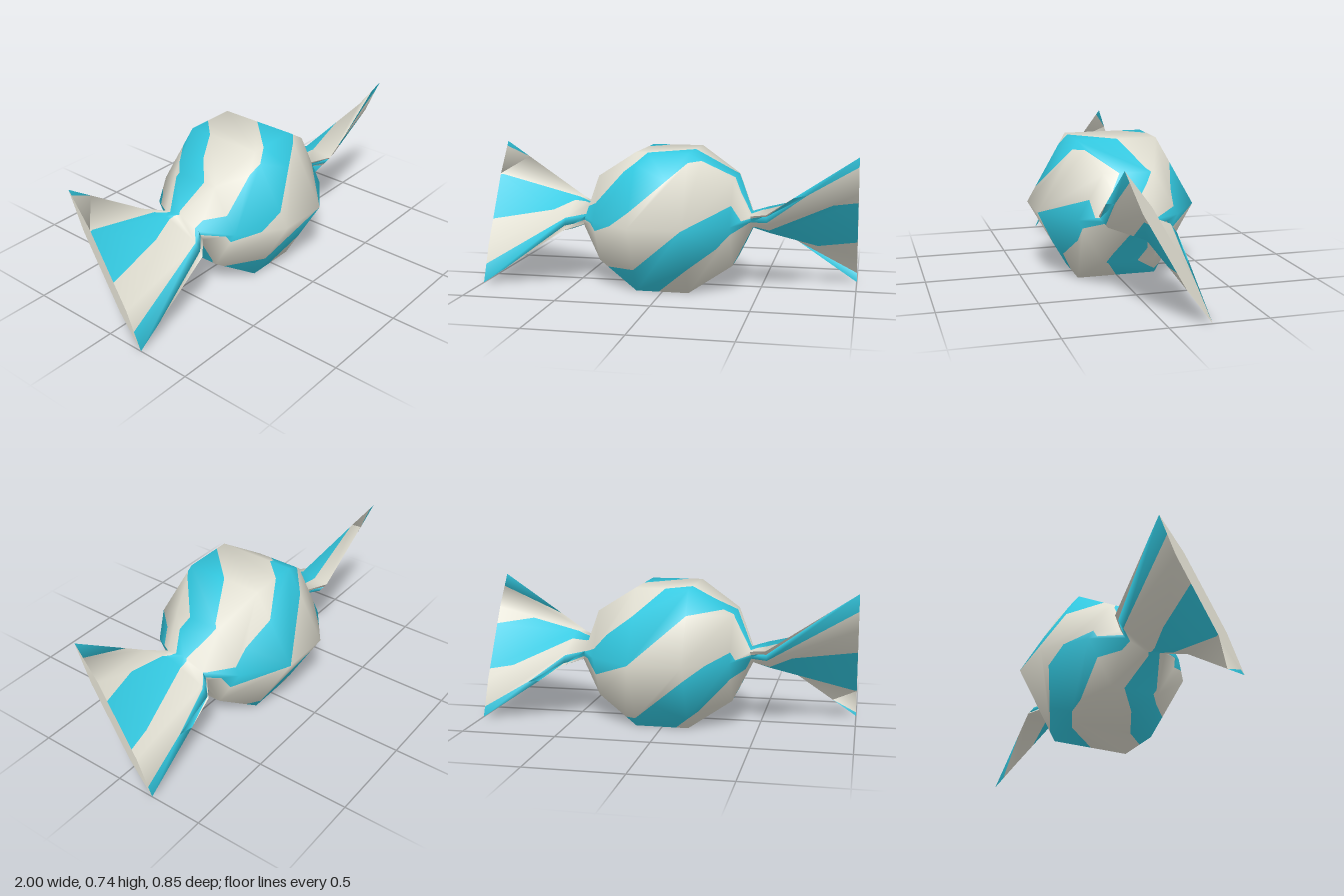
import * as THREE from 'three';

const CY = 0.37, R = 0.425, SIDES = 6, PERIOD = 1.5, STRIPE = 0.63;

// Six [z, y] points from three, completed by point symmetry about the axis
const symmetric = (p) => [...p, ...p.map(([z, y]) => [-z, -y])];
const hexagon = (r) => symmetric([0, 1, 2].map((i) => [r * Math.cos(i * Math.PI / 3), r * Math.sin(i * Math.PI / 3)]));
const scaled = (ring, k) => ring.map(([z, y]) => [z * k, y * k]);

// Twisted wrapper sections: pinched gather, and the fan squashed along its diagonal
const gather = symmetric([[0.16, 0], [0.205, 0.06], [0.04, 0.08]]);
const fan = hexagon(R).map(([z, y]) => {
  const along = z * 0.5 + y * 0.866, across = (-z * 0.866 + y * 0.5) * 0.07;
  return [along * 0.5 - across * 0.866, along * 0.866 + across * 0.5];
});

// Sections of the +x half: position, outline, and how far the stripes have turned
const half = [
  { x: 0.14, ring: hexagon(R), turn: 0.33 },
  { x: 0.36, ring: hexagon(0.265), turn: 0.77 },
  { x: 0.45, ring: scaled(gather, 0.62), turn: 0.97 },
  { x: 0.54, ring: gather, turn: 1.17 },
  { x: 1.0, ring: fan, turn: 1.69 },
];
// The other half is turned by 180 degrees about y
const turned = half.map(({ x, ring, turn }) => ({
  x: -x,
  turn: -turn,
  ring: ring.map((_, i) => { const [z, y] = ring[(9 - i) % SIDES]; return [-z, y]; }),
})).reverse();
const sections = [...turned, ...half];

// Cut a polygon at stripe coordinate s = c, keeping one side
function clip(poly, c, sign) {
  const out = [];
  poly.forEach((a, i) => {
    const b = poly[(i + 1) % poly.length];
    const da = (a.s - c) * sign, db = (b.s - c) * sign;
    if (da >= 0) out.push(a);
    if (da * db < 0) {
      const f = da / (da - db);
      out.push({ s: a.s + (b.s - a.s) * f, p: a.p.clone().lerp(b.p, f), n: a.n.clone().lerp(b.n, f).normalize() });
    }
  });
  return out;
}

function toGeometry(polys) {
  const pos = [], nor = [];
  for (const poly of polys) {
    for (let i = 1; i < poly.length - 1; i++) {
      for (const v of [poly[0], poly[i], poly[i + 1]]) {
        pos.push(v.p.x, v.p.y, v.p.z);
        nor.push(v.n.x, v.n.y, v.n.z);
      }
    }
  }
  const g = new THREE.BufferGeometry();
  g.setAttribute('position', new THREE.Float32BufferAttribute(pos, 3));
  g.setAttribute('normal', new THREE.Float32BufferAttribute(nor, 3));
  return g;
}

// Smooth skin through all sections, used for points and normals
function makeSkin() {
  const pos = [], index = [];
  for (const { x, ring } of sections) for (const [z, y] of ring) pos.push(x, y + CY, z);
  for (let j = 0; j < sections.length - 1; j++) {
    for (let i = 0; i < SIDES; i++) {
      const a = j * SIDES + i, d = j * SIDES + (i + 1) % SIDES;
      index.push(a, a + SIDES, d + SIDES, a, d + SIDES, d);
    }
  }
  const g = new THREE.BufferGeometry();
  g.setAttribute('position', new THREE.Float32BufferAttribute(pos, 3));
  g.setIndex(index);
  g.computeVertexNormals();
  return g;
}

export function createModel() {
  const cyan = new THREE.MeshStandardMaterial({ color: 0x32c8e0 });
  cyan.name = 'cyan stripe';
  const cream = new THREE.MeshStandardMaterial({ color: 0xdedccf });
  cream.name = 'cream wrapper';
  cyan.side = cream.side = THREE.DoubleSide;

  const model = new THREE.Group();
  model.name = 'wrappedCandy';
  const skin = makeSkin();
  const corner = (j, i) => {
    const k = j * SIDES + i % SIDES;
    return {
      s: i - 0.86 - sections[j].turn + STRIPE / 2,
      p: new THREE.Vector3().fromBufferAttribute(skin.attributes.position, k),
      n: new THREE.Vector3().fromBufferAttribute(skin.attributes.normal, k),
    };
  };

  // Each part is a run of sections, split into helical stripes
  const parts = [['rightTwist', 0, 2], ['candyBody', 2, 7], ['leftTwist', 7, 9]];
  for (const [name, from, to] of parts) {
    const group = new THREE.Group();
    group.name = name;
    const striped = [], plain = [];
    for (let j = from; j < to; j++) {
      for (let i = 0; i < SIDES; i++) {
        const a = corner(j, i), b = corner(j + 1, i), c = corner(j + 1, i + 1), d = corner(j, i + 1);
        for (const tri of [[a, b, c], [a, c, d]]) {
          for (let k = -6; k < 8; k++) {
            const s0 = k * PERIOD;
            for (const [list, lo, hi] of [[striped, s0, s0 + STRIPE], [plain, s0 + STRIPE, s0 + PERIOD]]) {
              const piece = clip(clip(tri, lo, 1), hi, -1);
              if (piece.length > 2) list.push(piece);
            }
          }
        }
      }
    }
    // Thin closing face at the outer end of a twist
    if (name !== 'candyBody') {
      const sign = name === 'leftTwist' ? 1 : -1;
      const cap = [0, 1, 2, 3, 4, 5].map((i) => ({ ...corner(sign > 0 ? 9 : 0, i), n: new THREE.Vector3(sign, 0, 0) }));
      plain.push(sign > 0 ? cap.reverse() : cap);
    }
    for (const [list, mat, label] of [[striped, cyan, 'Stripes'], [plain, cream, 'Wrapper']]) {
      const mesh = new THREE.Mesh(toGeometry(list), mat);
      mesh.name = name + label;
      group.add(mesh);
    }
    model.add(group);
  }
  return model;
}
